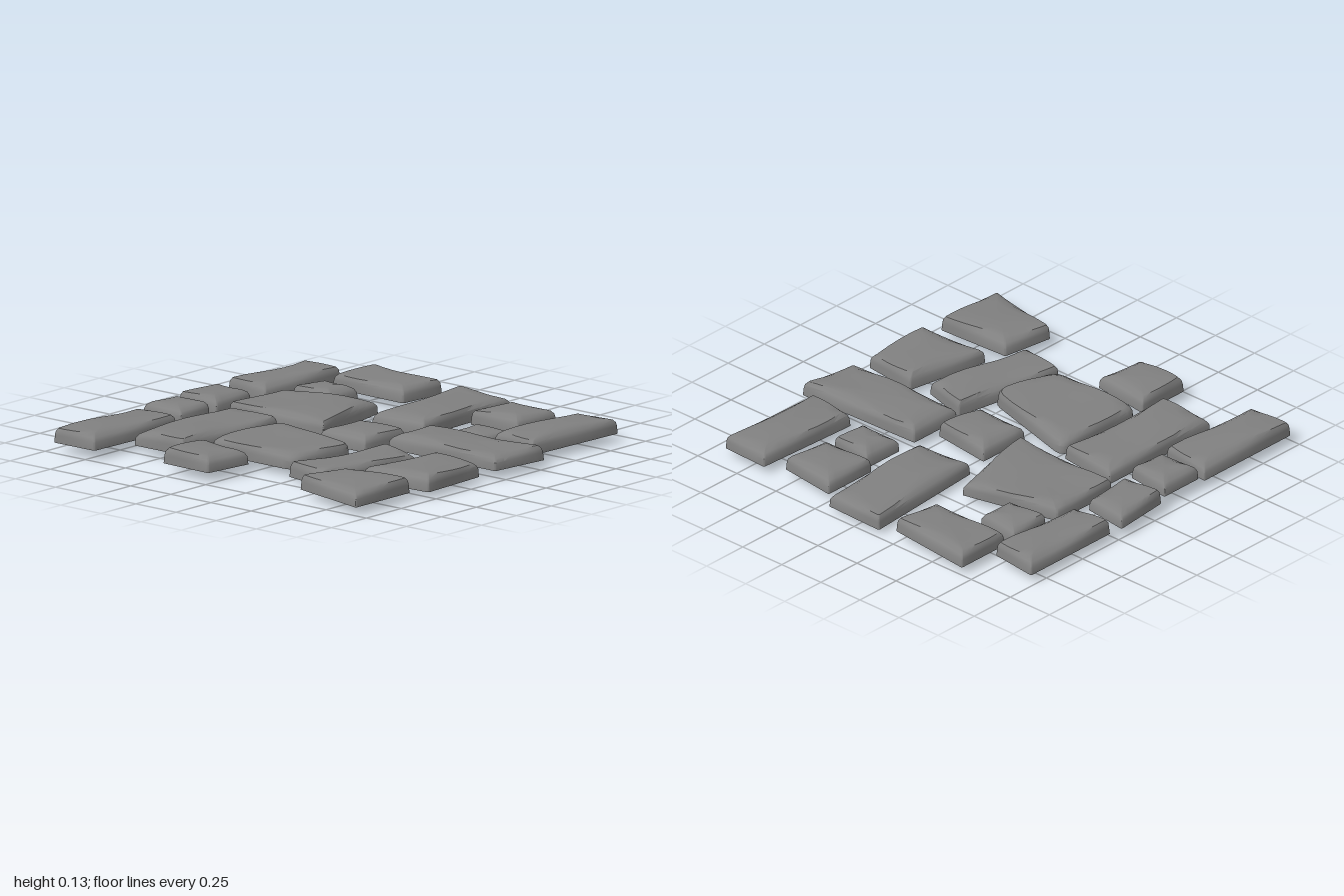
import * as THREE from 'three';
import { toCreasedNormals } from 'three/addons/utils/BufferGeometryUtils.js';

const THICKNESS = 0.075;

// Four-sided slab plan; lean and leftLean shift the front corners in x,
// frontTilt and backTilt slope those edges in z from left to right
function plan(x0, x1, z0, z1, { lean = -.03, leftLean = 0, frontTilt = 0, backTilt = 0 }) {
  return [
    new THREE.Vector2(x0, z0 - backTilt / 2),
    new THREE.Vector2(x1, z0 + backTilt / 2),
    new THREE.Vector2(x1 + lean, z1 + frontTilt / 2),
    new THREE.Vector2(x0 + leftLean, z1 - frontTilt / 2),
  ];
}

// Outline with softened corners and evenly divided edges
function outline(corners, r) {
  const pts = [];
  corners.forEach((p, i) => {
    const prev = corners[(i + 3) % 4], next = corners[(i + 1) % 4];
    const near = (from, to) => from.clone().add(to.clone().sub(from).setLength(r));
    const start = near(p, next), end = near(next, p);
    pts.push(...new THREE.QuadraticBezierCurve(near(p, prev), p, start).getPoints(3));
    for (let k = 1; k < 6; k++) pts.push(start.clone().lerp(end, k / 6));
  });
  return pts;
}

// Open-bottomed shell made of rings: rim, wall, worn bevel, gently uneven top
function stoneGeometry(pts, base, seed) {
  const n = pts.length;
  const c = pts.reduce((s, p) => s.add(p), new THREE.Vector2()).divideScalar(n);
  const hx = Math.max(...pts.map(p => Math.abs(p.x - c.x)));
  const hz = Math.max(...pts.map(p => Math.abs(p.y - c.y)));
  const wave = (x, z) => Math.sin(x * 9 + seed * 2.1) * Math.cos(z * 8 + seed * 1.3);
  const pos = [], idx = [];
  // each ring: inset distance, height fraction, remaining scale
  const rings = [[0, 0, 1], [.003, .5, 1], [.012, .74, 1], [.035, .94, 1],
    [.05, .97, .85], [.05, .99, .6], [.05, 1, .3], [.05, 1, 0]];
  rings.forEach(([d, f, s], k) => {
    pts.forEach((p, i) => {
      // wear varies along the edge so the bevel looks hewn
      const wear = k > 1 ? 1 + .55 * Math.sin(p.x * 8 + p.y * 10 + seed * 3) : 1;
      const x = c.x + (p.x - c.x) * (1 - d * wear / hx) * s;
      const z = c.y + (p.y - c.y) * (1 - d * wear / hz) * s;
      const bump = k > 1 ? wave(x, z) * .006 * Math.min(1, (k - 1) / 2) : 0;
      pos.push(x, base + THICKNESS * f + bump, z);
      if (k === rings.length - 1) return;
      const a = k * n + i, b = k * n + (i + 1) % n;
      idx.push(a, a + n, b);
      if (k < rings.length - 2) idx.push(b, a + n, b + n);
    });
  });
  const g = new THREE.BufferGeometry();
  g.setAttribute('position', new THREE.Float32BufferAttribute(pos, 3));
  g.setIndex(idx);
  return toCreasedNormals(g, 0.7);
}

export function createModel() {
  const group = new THREE.Group();
  group.name = 'stonePaving';
  const material = new THREE.MeshStandardMaterial({ color: 0x808080, side: THREE.DoubleSide });

  // One paving stone from its extents, base height and slants; broad slabs get rounder corners
  function addStone(x0, x1, z0, z1, base, slants = {}) {
    const number = group.children.length + 1;
    const radius = Math.min(x1 - x0, z1 - z0) > .4 ? .06 : .01;
    const pts = outline(plan(x0, x1, z0, z1, slants), radius);
    const stone = new THREE.Mesh(stoneGeometry(pts, base, number), material);
    stone.name = `pavingStone${number}`;
    group.add(stone);
  }

  // back row
  addStone(-.98, -.38, -.965, -.70, .045, { frontTilt: .02 });
  addStone(-.36, -.12, -.95, -.71, .06);
  addStone(-.08, .23, -.985, -.745, .05, { frontTilt: -.03, backTilt: -.03 });
  addStone(.29, .84, -.985, -.74, .045, { frontTilt: .02 });

  // second row
  addStone(-.76, -.06, -.655, -.34, .04, { lean: -.04, frontTilt: .02 });
  addStone(-.02, .36, -.71, -.155, .035, { lean: .12, leftLean: -.02, frontTilt: -.11 });
  addStone(.43, .66, -.705, -.465, .03);
  addStone(.70, 1, -.69, -.23, .04, { lean: -.05, leftLean: -.01, frontTilt: .02 });

  // middle row
  addStone(-.95, -.66, -.31, -.005, .045, { lean: -.04, leftLean: -.01, frontTilt: .03 });
  addStone(-.62, -.11, -.31, .25, .035, { lean: -.16, leftLean: -.01, frontTilt: .07, backTilt: .02 });
  addStone(-.12, .17, -.06, .25, .03, { lean: -.04, leftLean: -.01, frontTilt: .03 });
  addStone(.29, .98, -.115, .205, .025, { lean: -.01, leftLean: .02, frontTilt: -.03, backTilt: -.05 });

  // fourth row
  addStone(-.67, -.09, .285, .535, .015, { lean: -.07, leftLean: -.05, frontTilt: .11, backTilt: .11 });
  addStone(-.03, .27, .29, .975, .04, { lean: .02, frontTilt: .03 });
  addStone(.32, .55, .335, .575, 0);
  addStone(.60, .90, .255, .56, .035, { lean: -.04, frontTilt: .02 });

  // front row
  addStone(-.90, -.63, .52, .935, .04, { lean: .02, leftLean: -.1, backTilt: .04 });
  addStone(-.54, -.10, .62, .96, .03, { leftLean: .02, frontTilt: -.02, backTilt: .08 });
  addStone(.35, .92, .635, .90, .04, { lean: -.01, leftLean: -.03, frontTilt: .02, backTilt: .03 });

  return group;
}
